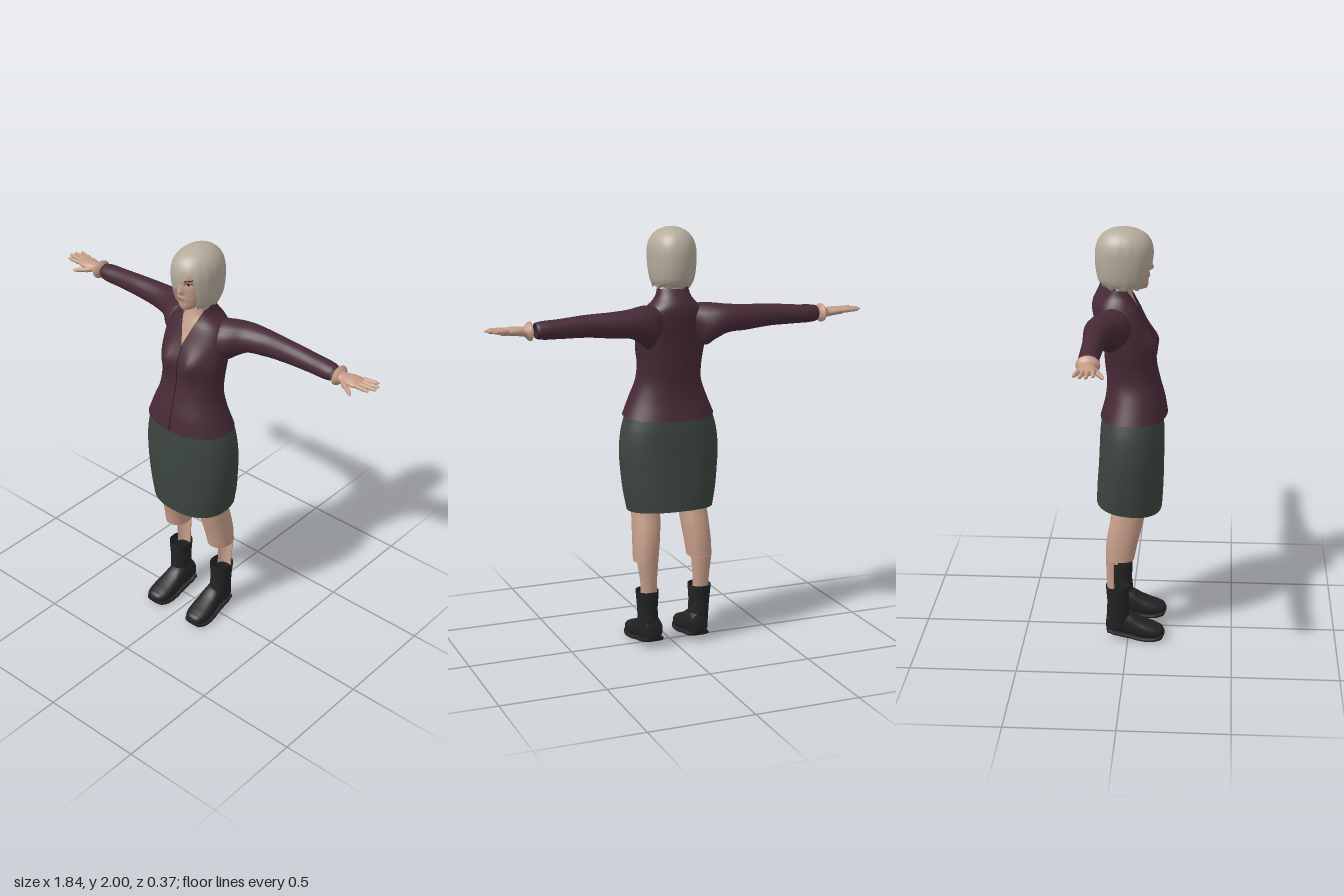
import * as THREE from 'three';

const mat = (name, color) => {
  const m = new THREE.MeshStandardMaterial({ color, side: THREE.DoubleSide });
  m.name = name;
  return m;
};

// Smoothly subdivide a table of cross-sections; the first column is the position along the part
function sample(rows, k = 4) {
  const it = new THREE.CubicInterpolant(rows.map(r => r[0]), rows.flatMap(r => r.slice(1)), rows[0].length - 1);
  const out = [];
  for (let i = 0; i < rows.length - 1; i++) {
    for (let j = 0; j < k; j++) {
      const t = rows[i][0] + (rows[i + 1][0] - rows[i][0]) * j / k;
      out.push([t, ...it.evaluate(t)]);
    }
  }
  out.push(rows[rows.length - 1]);
  return out;
}

// Skin a grid of points: rows along the part, columns around it
function skin(grid, closed = true) {
  const n = grid[0].length, idx = [];
  for (let r = 0; r < grid.length - 1; r++) {
    for (let c = 0; c < (closed ? n : n - 1); c++) {
      const a = r * n + c, b = r * n + (c + 1) % n;
      idx.push(a, b, b + n, a, b + n, a + n);
    }
  }
  const g = new THREE.BufferGeometry();
  g.setAttribute('position', new THREE.Float32BufferAttribute(grid.flat(2), 3));
  g.setIndex(idx);
  g.computeVertexNormals();
  return g;
}

// Mirror a geometry across x, keeping its faces outward
function mirror(geo) {
  const g = geo.clone().scale(-1, 1, 1), i = g.index.array;
  for (let k = 0; k < i.length; k += 3) [i[k], i[k + 1]] = [i[k + 1], i[k]];
  return g;
}

const pw = (v, n) => Math.sign(v) * Math.abs(v) ** (2 / n);
const angles = (n, a = 0, b = Math.PI * 2, open = false) =>
  Array.from({ length: open ? n + 1 : n }, (_, i) => a + (b - a) * i / n);
const bell = (v, w) => Math.exp(-((v / w) ** 2));

// Point on an upright section [y, halfWidth, zFront, zBack, xCentre]; angle 0 faces front
const upright = ([y, hw, zf, zb, cx = 0], t, n = 2) =>
  [cx + hw * pw(Math.sin(t), n), y, (zf + zb) / 2 + (zf - zb) / 2 * pw(Math.cos(t), n)];
const column = (rows, n = 2, seg = 32) => skin(sample(rows).map(r => angles(seg).map(t => upright(r, t, n))));

// Tube along x: [x, yBottom, yTop, zBack, zFront]
const alongX = (rows, seg = 20, k = 4) => skin(sample(rows, k).map(([x, y0, y1, z0, z1]) =>
  angles(seg).map(t => [x, (y0 + y1) / 2 - (y1 - y0) / 2 * Math.sin(t), (z0 + z1) / 2 + (z1 - z0) / 2 * Math.cos(t)])));

// Tube along z: [z, halfWidth, yBottom, yTop, xCentre]
const alongZ = (rows, n) => skin(sample(rows).map(([z, hw, y0, y1, cx]) =>
  angles(24).map(t => [cx + hw * pw(Math.cos(t), n), (y0 + y1) / 2 + (y1 - y0) / 2 * pw(Math.sin(t), n), z])));

export function createModel() {
  const root = new THREE.Group();
  root.name = 'woman';
  const jacket = mat('plum jacket', 0x472a36), skirt = mat('grey green skirt', 0x3c4540);
  const skinMat = mat('skin', 0xc59d88), hair = mat('ash blonde hair', 0xb4ab9b);
  const boot = mat('black leather', 0x232324), dark = mat('dark line', 0x2a1c20), white = mat('eye white', 0xcfc6bd);
  const add = (name, geo, m) => {
    const mesh = new THREE.Mesh(geo, m);
    mesh.name = name;
    root.add(mesh);
  };
  const pair = (name, geo, m) => {
    add('left' + name, geo, m);
    add('right' + name, mirror(geo), m);
  };

  // Jacket body, open in a V at the neck, with a hem that dips at the back
  const bodyRows = sample([
    [1.12, .22, .178, -.135], [1.2, .187, .165, -.112], [1.28, .157, .143, -.105], [1.36, .153, .125, -.113],
    [1.45, .165, .115, -.12], [1.52, .165, .095, -.13], [1.58, .16, .07, -.14], [1.625, .14, .05, -.142],
    [1.655, .105, .036, -.135], [1.685, .082, .026, -.115], [1.72, .073, .016, -.095]]);
  const bodyPoint = (r, t) => {
    const p = upright(r, t, 2.2), front = Math.max(0, Math.cos(t));
    p[2] += .03 * front * bell(Math.abs(p[0]) - .075, .05) * bell(p[1] - 1.46, .06);
    p[1] += .1 * Math.min(0, p[2]) * Math.max(0, 1 - (r[0] - 1.12) / .12);
    return p;
  };
  add('jacketBody', skin(bodyRows.map(r => {
    const gap = Math.max(0, r[0] - 1.54) * .36;
    const a = Math.asin(Math.min(.92, (gap / r[1]) ** 1.1));
    return angles(48, a, Math.PI * 2 - a, true).map(t => bodyPoint(r, t));
  }), false), jacket);

  // Front zip line
  const zip = bodyRows.filter(r => r[0] < 1.545).map(r => new THREE.Vector3(...bodyPoint(r, 0)));
  add('frontZip', new THREE.TubeGeometry(new THREE.CatmullRomCurve3(zip), 30, .0025, 5), dark);

  // Sleeves
  pair('Sleeve', alongX([
    [.08, 1.52, 1.64, -.13, -.02], [.13, 1.45, 1.65, -.17, .02], [.18, 1.478, 1.648, -.188, .0],
    [.23, 1.507, 1.643, -.192, -.04], [.32, 1.517, 1.638, -.188, -.073], [.45, 1.53, 1.633, -.18, -.083],
    [.58, 1.533, 1.622, -.18, -.09], [.675, 1.537, 1.615, -.176, -.092], [.69, 1.542, 1.611, -.17, -.097]]), jacket);

  // Hands: palm, four fingers and a thumb
  pair('Palm', alongX([
    [.7, 1.575, 1.577, -.131, -.129], [.703, 1.552, 1.6, -.16, -.103], [.74, 1.553, 1.598, -.162, -.1],
    [.78, 1.56, 1.6, -.172, -.09], [.82, 1.565, 1.598, -.172, -.09], [.838, 1.576, 1.592, -.166, -.097]]), skinMat);
  const finger = (x0, y0, z0, x1, y1, z1, r) => alongX([0, .08, .5, .88, 1].map((t, i) => {
    const s = r * [.6, 1, .9, .7, .05][i], y = y0 + (y1 - y0) * t, z = z0 + (z1 - z0) * t;
    return [x0 + (x1 - x0) * t, y - s, y + s, z - s, z + s];
  }), 10, 2);
  [[.895, -.178, -.161], [.915, -.152, -.142], [.92, -.126, -.123], [.9, -.096, -.102]].forEach(([x, z1, z0], i) =>
    pair('Finger' + (i + 1), finger(.815, 1.584, z0, x, 1.587, z1, .0105), skinMat));
  pair('Thumb', finger(.745, 1.573, -.108, .835, 1.558, -.06, .0125), skinMat);

  // Skirt with a hem that rises toward the back
  add('skirt', skin(sample([
    [.665, .205, .155, -.155], [.75, .222, .16, -.152], [.85, .234, .163, -.145], [.95, .24, .163, -.14],
    [1.05, .23, .162, -.135], [1.13, .208, .158, -.125]]).map(r => angles(48).map(t => {
    const p = upright(r, t, 2.3);
    p[1] -= .1 * p[2] * Math.max(0, (.95 - r[0]) / .285);
    return p;
  }))), skirt);

  // Legs: full down to mid calf, then only the back of the calf down into the boot
  pair('Leg', column([
    [.425, .058, .03, -.105, .137], [.5, .062, .045, -.103, .132], [.58, .065, .065, -.09, .125],
    [.68, .068, .085, -.065, .118], [.8, .075, .1, -.08, .115]], 2.2, 24), skinMat);
  pair('CalfBack', skin(sample([
    [.24, .044, .01, -.098, .133], [.32, .046, .015, -.102, .134], [.425, .058, .03, -.105, .137]])
    .map(r => angles(12, 2, Math.PI * 2 - 2, true).map(t => upright(r, t, 2.2))), false), skinMat);

  // Boots
  pair('BootShaft', column([
    [.06, .044, .0, -.1, .128], [.13, .046, .01, -.102, .13], [.2, .048, .004, -.1, .133],
    [.265, .053, .007, -.105, .134], [.282, .053, .007, -.106, .134]], 2.3, 24), boot);
  const foot = [[-.107, .004, .07, .08], [-.103, .03, .05, .12], [-.085, .044, .038, .145], [-.04, .047, .026, .152],
    [.01, .05, .018, .138], [.05, .055, .01, .112], [.1, .058, .006, .088], [.145, .05, .01, .07],
    [.168, .03, .018, .056], [.176, .003, .032, .036]];
  const centre = z => .123 + .04 * (z - .05);
  pair('BootFoot', alongZ(foot.map(([z, w, a, b]) => [z, w, a, b, centre(z)]), 2.4), boot);
  pair('BootSole', alongZ(foot.map(([z, w, a]) => [z, w + .005, Math.max(.001, a - .006), a + .016, centre(z)]), 4), boot);

  // Neck and upper chest
  add('neckAndChest', column([
    [1.48, .1, .085, -.08], [1.54, .1, .076, -.08], [1.59, .09, .052, -.085], [1.635, .075, .034, -.085],
    [1.67, .054, .018, -.075], [1.71, .044, .01, -.064], [1.78, .044, .01, -.064]]), skinMat);

  // Face with a shaped nose, lips and eye sockets
  const faceRows = [
    [1.712, .002, .045, .041], [1.717, .022, .07, .0], [1.732, .04, .083, -.03], [1.76, .057, .086, -.06],
    [1.8, .069, .088, -.09], [1.85, .078, .09, -.12], [1.9, .078, .092, -.12], [1.95, .05, .06, -.09]];
  const facePoint = (r, t) => {
    const p = upright(r, t, 2.1), f = Math.cos(t) > 0 ? 1 : 0;
    const y = p[1], nose = y > 1.812 ? bell(y - 1.812, .035) : bell(y - 1.812, .009);
    p[2] += f * (.021 * bell(p[0], .011) * nose + .006 * bell(p[0], .022) * bell(y - 1.78, .012)
      - .007 * bell(Math.abs(p[0]) - .033, .018) * bell(y - 1.853, .014));
    return p;
  };
  add('face', skin(sample(faceRows, 8).map(r => angles(72).map(t => facePoint(r, t)))), skinMat);

  // Painted face details following the face surface
  const fine = sample(faceRows, 40);
  const onFace = (x, y, lift) => {
    const r = fine.reduce((a, b) => Math.abs(b[0] - y) < Math.abs(a[0] - y) ? b : a);
    const s = Math.sign(x) * Math.abs(x / r[1]) ** 1.05;
    return [x, y, facePoint(r, Math.asin(s))[2] + lift];
  };
  const decal = (x0, x1, low, high, lift) => skin([low, high].map(f =>
    Array.from({ length: 9 }, (_, i) => onFace(x0 + (x1 - x0) * i / 8, f(i / 8), lift))), false);
  const arch = t => Math.sin(Math.PI * t);
  pair('EyeWhite', decal(.019, .049, t => 1.851 - .004 * arch(t), t => 1.852 + .007 * arch(t), .002), white);
  pair('Iris', decal(.029, .039, t => 1.852 - .005 * arch(t), t => 1.853 + .006 * arch(t), .003), dark);
  pair('Eyelash', decal(.017, .053, t => 1.852 + .007 * arch(t), t => 1.854 + .01 * arch(t), .0035), dark);
  pair('Eyebrow', decal(.014, .056, t => 1.868 + .01 * t, t => 1.872 + .011 * t, .003), dark);
  add('mouth', decal(-.018, .018, t => 1.777 + .002 * arch(t), t => 1.778 + .004 * arch(t), .002), dark);

  // Bobbed hair with a fringe swept across the right eye
  const edges = sample([[1.715, -.045, .05], [1.74, -.055, .06], [1.785, -.058, .068], [1.81, -.04, .071],
    [1.84, -.008, .071], [1.87, .022, .068], [1.9, .04, .062], [1.925, .05, .05], [2, .05, .05]], 10);
  const hairRows = sample([
    [1.725, .082, .07, -.115], [1.75, .095, .083, -.14], [1.79, .104, .095, -.152], [1.85, .109, .106, -.158],
    [1.9, .108, .108, -.156], [1.94, .097, .096, -.144], [1.97, .075, .07, -.12], [1.988, .048, .035, -.09],
    [1.997, .022, .0, -.055], [2, .001, -.027, -.029]], 5);
  add('hair', skin(hairRows.map(r => {
    const e = edges.reduce((a, b) => Math.abs(b[0] - r[0]) < Math.abs(a[0] - r[0]) ? b : a);
    const at = x => Math.asin(THREE.MathUtils.clamp(x / r[1], -.8, .8));
    return angles(72, at(e[2]), Math.PI * 2 + at(e[1]), true).map(t => {
      const p = upright(r, t, 2.1), wave = 1 + .008 * Math.sin(t * 17);
      return [p[0] * wave, p[1] + (r[0] < 1.74 ? .006 * Math.sin(t * 9) : 0), p[2]];
    });
  }), false), hair);

  return root;
}
